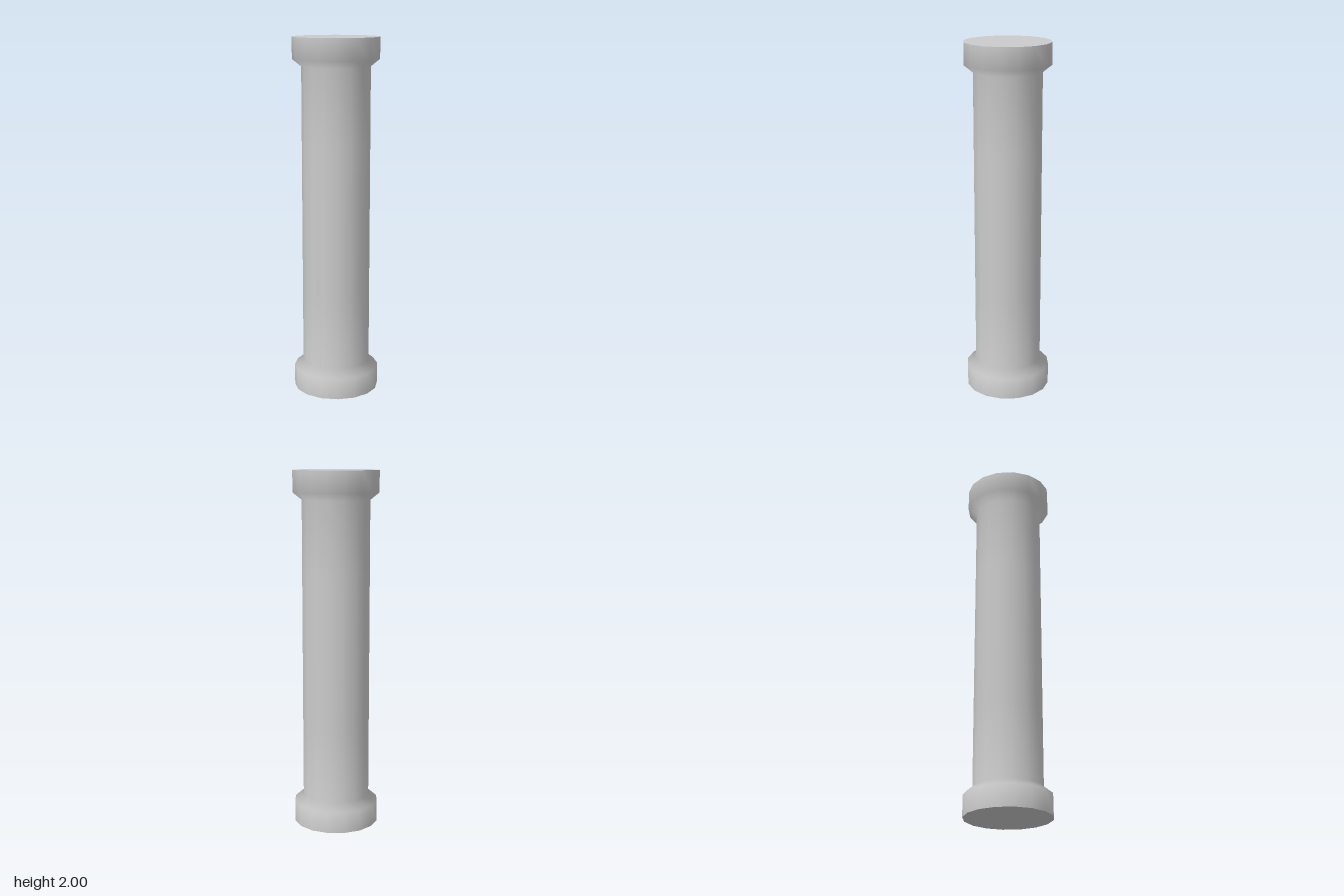
import * as THREE from 'three';

const SIDES = 16;
const BASE_R = 0.24;
const SHAFT_R = 0.19;
const HEIGHT = 2;

export function createModel() {
  const group = new THREE.Group();
  group.name = 'column';
  const material = new THREE.MeshStandardMaterial({ color: 0xcccccc });

  const add = (name, geometry) => {
    const mesh = new THREE.Mesh(geometry, material);
    mesh.name = name;
    group.add(mesh);
    return mesh;
  };

  // Lower half of the profile: base drum, chamfer, shaft; mirrored for the top
  const lower = [[BASE_R, 0], [BASE_R, 0.12], [SHAFT_R, 0.16], [SHAFT_R, 0.58]];
  const upper = lower.map(([r, y]) => [r, HEIGHT - y]).reverse();
  const profile = [...lower, ...upper].map(([r, y]) => new THREE.Vector2(r, y));
  add('columnBody', new THREE.LatheGeometry(profile, SIDES));

  // Flat end faces
  const topFace = add('topFace', new THREE.CircleGeometry(BASE_R, SIDES));
  topFace.rotation.x = -Math.PI / 2;
  topFace.position.y = HEIGHT;
  const bottomFace = add('bottomFace', new THREE.CircleGeometry(BASE_R, SIDES));
  bottomFace.rotation.x = Math.PI / 2;

  return group;
}
